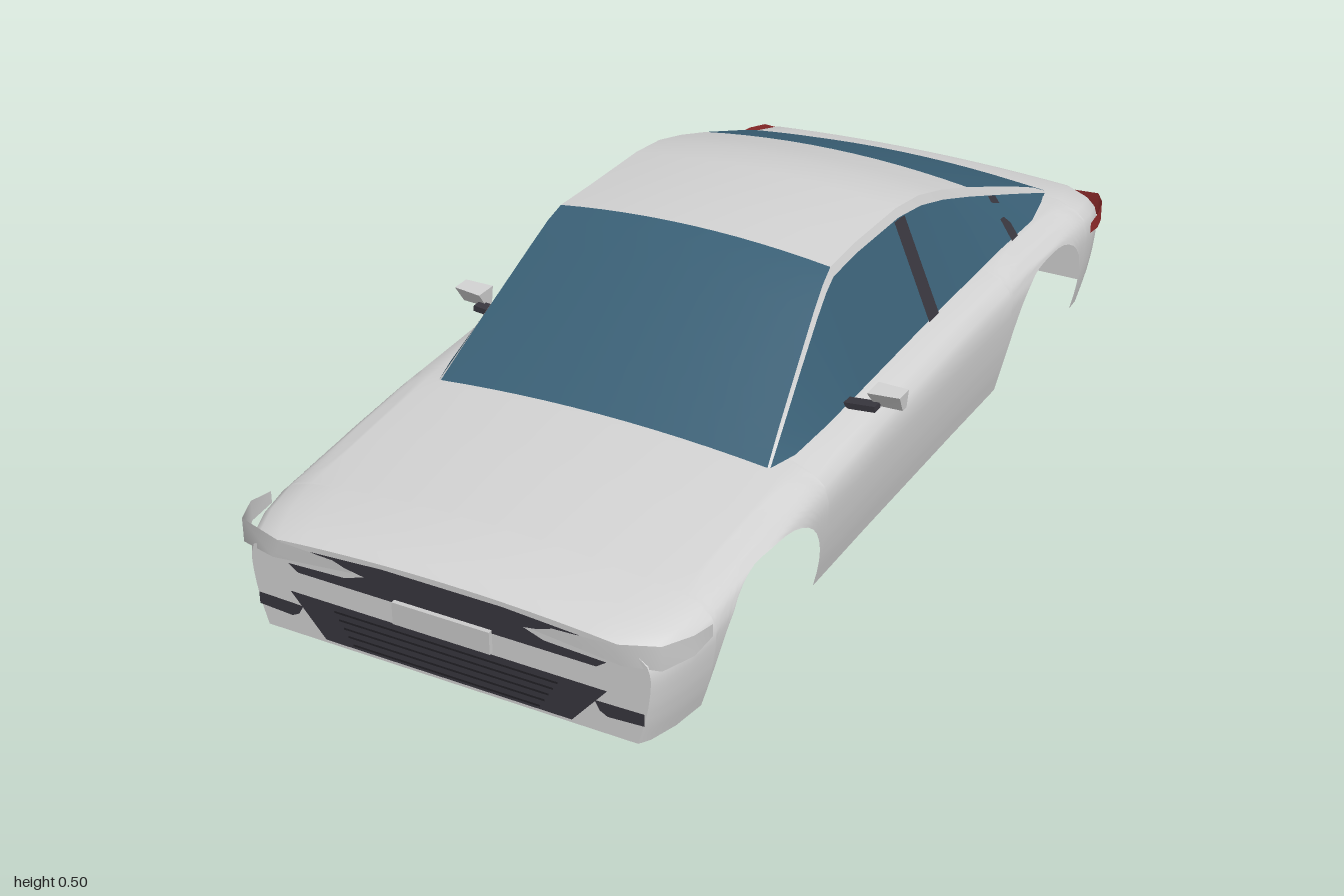
import * as THREE from 'three';

const mat = (name, color) => new THREE.MeshStandardMaterial({ name, color, side: THREE.DoubleSide });

// Tables run front to back: first column is z
const BODY = [ // z, half width, deck edge y, crown y
  [0.985, 0.402, 0.185, 0.2], [0.965, 0.416, 0.194, 0.212], [0.91, 0.434, 0.204, 0.226],
  [0.84, 0.444, 0.212, 0.236], [0.63, 0.446, 0.232, 0.254], [0.465, 0.446, 0.247, 0.267],
  [0.2, 0.444, 0.26, 0.275], [-0.2, 0.444, 0.27, 0.28], [-0.5, 0.446, 0.27, 0.28],
  [-0.8, 0.447, 0.258, 0.27], [-0.88, 0.443, 0.25, 0.262], [-0.95, 0.427, 0.236, 0.248],
  [-0.985, 0.406, 0.222, 0.234],
];
const CABIN = [ // z, belt x, window top x, y, roof edge x, y, crown y
  [0.465, 0.352, 0.35, 0.248, 0.345, 0.25, 0.268], [0.4, 0.37, 0.34, 0.29, 0.334, 0.297, 0.318],
  [0.3, 0.375, 0.324, 0.354, 0.318, 0.365, 0.388], [0.2, 0.376, 0.309, 0.418, 0.302, 0.432, 0.454],
  [0.15, 0.376, 0.302, 0.447, 0.295, 0.463, 0.484], [0.11, 0.376, 0.297, 0.462, 0.29, 0.48, 0.5],
  [0, 0.376, 0.293, 0.464, 0.286, 0.482, 0.503], [-0.18, 0.376, 0.295, 0.463, 0.288, 0.481, 0.501],
  [-0.28, 0.376, 0.298, 0.449, 0.291, 0.469, 0.49], [-0.38, 0.376, 0.302, 0.422, 0.295, 0.442, 0.463],
  [-0.5, 0.376, 0.309, 0.382, 0.302, 0.402, 0.424], [-0.7, 0.374, 0.327, 0.312, 0.32, 0.328, 0.348],
  [-0.8, 0.355, 0.336, 0.276, 0.33, 0.288, 0.306], [-0.84, 0.344, 0.339, 0.261, 0.334, 0.268, 0.289],
  [-0.885, 0.334, 0.333, 0.243, 0.33, 0.246, 0.264],
];
const SIDE = [ // height fraction, width fraction (negated first column so it descends)
  [0, 0.935], [-0.2, 0.963], [-0.4, 0.984], [-0.6, 0.997], [-0.75, 1], [-0.86, 0.982], [-0.94, 0.935], [-1, 0.84],
];

function sample(table, z) {
  let i = 0;
  while (i < table.length - 2 && z < table[i + 1][0]) i++;
  const [a, b] = [table[i], table[i + 1]];
  const t = THREE.MathUtils.clamp((z - a[0]) / (b[0] - a[0]), 0, 1);
  return a.map((v, k) => v + (b[k] - v) * t);
}

// Surface through rows of [x, y, z] points
function loft(rows) {
  const n = rows[0].length, index = [];
  for (let i = 0; i < rows.length - 1; i++) {
    for (let j = 0; j < n - 1; j++) {
      const a = i * n + j, c = a + n;
      index.push(a, c, a + 1, a + 1, c, c + 1);
    }
  }
  const g = new THREE.BufferGeometry();
  g.setAttribute('position', new THREE.Float32BufferAttribute(rows.flat(2), 3));
  g.setIndex(index);
  g.computeVertexNormals();
  return g;
}

// Lower edge of the body side, rising over the wheel arches
function lowerEdge(z) {
  const t = Math.abs((Math.abs(z) - 0.63) / 0.21);
  return t >= 1 ? 0 : (z > 0 ? 0.2 : 0.22) * Math.sqrt(1 - t ** 3);
}

function bodySection(z) {
  const [, w, edge, crown] = sample(BODY, z);
  const b = lowerEdge(z) / edge, half = [];
  for (let i = 0; i <= 14; i++) {
    const q = b + (1 - b) * i / 14;
    half.push([w * sample(SIDE, -q)[1], q * edge, z]);
  }
  for (let i = 1; i <= 6; i++) {
    const f = 1 - i / 6;
    half.push([w * 0.84 * f, edge + (crown - edge) * (1 - f * f), z]);
  }
  return [...half, ...half.slice(0, -1).reverse().map(([x, y]) => [-x, y, z])];
}

// Stations along a length, including the table's own
function stations(z0, z1, table = CABIN) {
  return [z0, ...table.map(r => r[0]).filter(z => z < z0 - 1e-4 && z > z1 + 1e-4), z1];
}

export function createModel() {
  const car = new THREE.Group();
  car.name = 'car';
  const paint = mat('silver paint', 0xd2d2d2);
  const glass = mat('blue glass', 0x3a6076);
  const trim = mat('dark trim', 0x38363e);
  const slatMat = mat('black slats', 0x222126);
  const red = mat('red lamp', 0x932c2c);
  const lampMat = mat('clear lamp', 0xcacaca);

  const add = (name, geometry, material) => {
    const m = new THREE.Mesh(geometry, material);
    m.name = name;
    car.add(m);
    return m;
  };
  const plate = (name, pts, z, material) => {
    const g = new THREE.ShapeGeometry(new THREE.Shape(pts.map(p => new THREE.Vector2(...p))));
    if (z < 0) g.rotateY(Math.PI);
    return add(name, g.translate(0, 0, z), material);
  };
  const mirrored = pts => [...pts, ...pts.map(([x, y]) => [-x, y]).reverse()];
  const rect = (x0, x1, y0, y1) => [[x0, y0], [x1, y0], [x1, y1], [x0, y1]];

  // Body shell with open underside and wheel arches
  const zs = BODY.map(r => r[0]).filter(z => Math.abs(Math.abs(z) - 0.63) > 0.2101);
  for (const c of [0.63, -0.63]) {
    for (let i = 0; i <= 24; i++) zs.push(c + 0.21 * Math.cos(Math.PI * i / 24));
  }
  zs.push(0, 0.3, -0.3);
  zs.sort((a, b) => b - a);
  add('bodyShell', loft(zs.map(bodySection)), paint);
  for (const [name, z] of [['frontFascia', 0.985], ['rearFascia', -0.985]]) {
    plate(name, bodySection(z).map(p => [p[0], p[1]]), z, paint);
  }

  // Cabin top: windscreen, roof and rear window
  const topRow = z => {
    const [, , , , x, y, crown] = sample(CABIN, z);
    return Array.from({ length: 13 }, (_, i) => {
      const f = 1 - i / 6;
      return [x * f, y + (crown - y) * (1 - f * f), z];
    });
  };
  add('windscreen', loft(stations(0.465, 0.11).map(topRow)), glass);
  add('roof', loft(stations(0.11, -0.5).map(topRow)), paint);
  add('rearWindow', loft(stations(-0.5, -0.885).map(topRow)), glass);

  for (const s of [1, -1]) {
    const side = s > 0 ? 'left' : 'right';
    const order = row => (s > 0 ? row : row.reverse());
    const glassRow = off => z => {
      const [, bx, wx, wy] = sample(CABIN, z);
      const by = Math.min(sample(BODY, z)[2] - 0.002, wy);
      return order([[s * (bx + off), by, z], [s * (wx + off), wy, z]]);
    };
    // Side windows, pillars and roof rails
    add(side + 'SideWindow', loft(stations(0.465, -0.885).map(glassRow(0))), glass);
    for (const [z0, z1] of [[-0.155, -0.2], [-0.575, -0.608]]) {
      add(side + 'Pillar', loft(stations(z0, z1).map(glassRow(0.003))), trim);
    }
    add(side + 'RoofRail', loft(stations(0.465, -0.885).map(z => {
      const [, , wx, wy, rx, ry] = sample(CABIN, z);
      return order([[s * wx, wy, z], [s * rx, ry, z]]);
    })), paint);

    // Headlamp wrapping round the corner
    const top = [[0.449, 0.186, 0.86], [0.447, 0.198, 0.92], [0.42, 0.203, 0.98], [0.33, 0.186, 0.991], [0.22, 0.182, 0.992]];
    const low = [[0.449, 0.162, 0.86], [0.447, 0.158, 0.92], [0.42, 0.155, 0.98], [0.35, 0.15, 0.991], [0.18, 0.168, 0.992]];
    const flip = pts => pts.map(([x, y, z]) => [s * x, y, z]);
    add(side + 'Headlamp', loft(s > 0 ? [flip(top), flip(low)] : [flip(low), flip(top)]), lampMat);

    // Fog lamp recess and rear vent
    plate(side + 'FogRecess', [[0.295, 0.063], [0.39, 0.065], [0.39, 0.041], [0.32, 0.037], [0.305, 0.045]].map(([x, y]) => [s * x, y]), 0.988, trim);
    plate(side + 'RearVent', [[0.3, 0.052], [0.385, 0.042], [0.385, 0.07], [0.315, 0.07]].map(([x, y]) => [s * x, y]), -0.988, trim);

    // Door mirror: stalk and wedge housing
    const stalk = add(side + 'MirrorStalk', new THREE.BoxGeometry(0.08, 0.012, 0.025), trim);
    stalk.position.set(s * 0.395, 0.263, 0.2);
    stalk.rotation.z = s * 0.1;
    const housing = new THREE.BoxGeometry(0.062, 0.038, 0.05);
    const p = housing.attributes.position;
    for (let i = 0; i < p.count; i++) {
      if (p.getY(i) < 0 && p.getZ(i) > 0) p.setZ(i, -0.005);
      if (p.getY(i) < 0) p.setX(i, p.getX(i) * 0.88);
      if (p.getX(i) * s > 0) p.setZ(i, p.getZ(i) * 0.8 - 0.004);
    }
    housing.computeVertexNormals();
    add(side + 'MirrorHousing', housing, paint).position.set(s * 0.45, 0.28, 0.19);
  }

  // Front grilles, slats and number plate panels
  plate('upperGrille', mirrored([[0.3, 0.131], [0.32, 0.145], [0.2, 0.15], [0.16, 0.164], [0.27, 0.182], [0.12, 0.191]]), 0.988, trim);
  plate('lowerGrille', mirrored([[0.25, 0.008], [0.32, 0.088]]), 0.988, trim);
  for (let i = 0; i < 5; i++) {
    const y = 0.015 + i * 0.0145, x = 0.19 + i * 0.009;
    plate('grilleSlat', rect(-x, x, y, y + 0.004), 0.991, slatMat);
  }
  add('frontPlatePanel', new THREE.BoxGeometry(0.196, 0.044, 0.009), lampMat).position.set(0, 0.116, 0.993);
  add('rearPlatePanel', new THREE.BoxGeometry(0.196, 0.042, 0.006), lampMat).position.set(0, 0.1, -0.988);

  // Full-width tail lamp, slimmer in the middle
  const tail = [[0.449, 0.186, 0.209, -0.85], [0.447, 0.178, 0.213, -0.9], [0.434, 0.17, 0.216, -0.955],
    [0.412, 0.166, 0.216, -0.99], [0.28, 0.174, 0.208, -0.992], [0, 0.182, 0.2, -0.992]];
  const all = [...tail, ...tail.slice(0, -1).reverse().map(([x, ...r]) => [-x, ...r])];
  add('tailLamp', loft([all.map(([x, a, , z]) => [x, a, z]), all.map(([x, , b, z]) => [x, b, z])]), red);

  return car;
}
